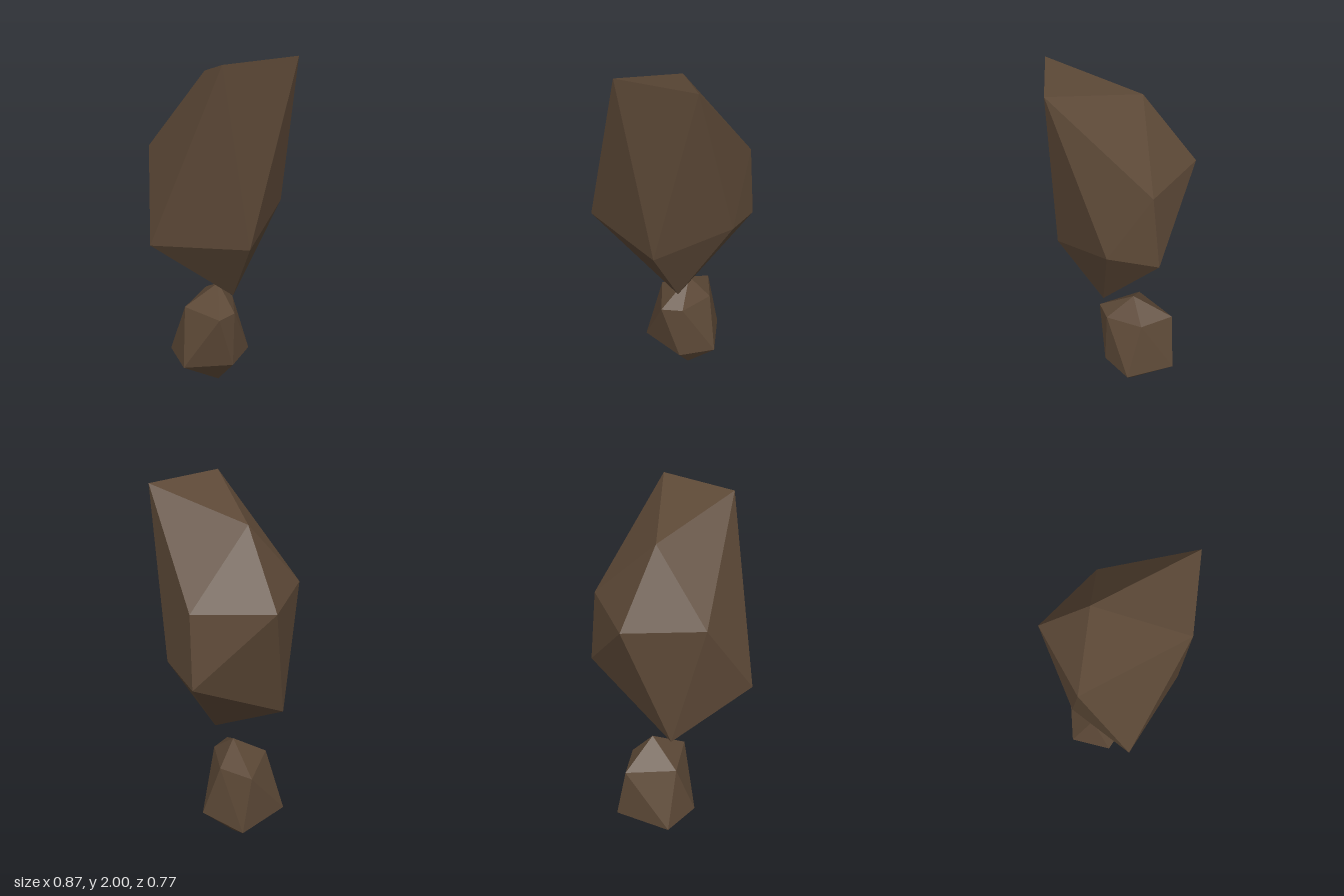
import * as THREE from 'three';

const stone = new THREE.MeshStandardMaterial({ color: 0x5d4937, flatShading: true });

// Twenty-sided rock: a top point, two staggered rings of five, and a bottom point.
function createRock(name, top, upper, lower, bottom) {
  const positions = [];
  const face = (...corners) => corners.forEach((c) => positions.push(...c));
  for (let i = 0; i < 5; i++) {
    const j = (i + 1) % 5;
    face(top, upper[j], upper[i]);
    face(upper[i], upper[j], lower[i]);
    face(lower[i], upper[j], lower[j]);
    face(lower[i], lower[j], bottom);
  }
  const geometry = new THREE.BufferGeometry();
  geometry.setAttribute('position', new THREE.Float32BufferAttribute(positions, 3));
  geometry.computeVertexNormals();
  const mesh = new THREE.Mesh(geometry, stone);
  mesh.name = name;
  return mesh;
}

export function createModel() {
  const model = new THREE.Group();
  model.name = 'floatingRocks';

  // Tall rock above, its crown tilted towards the back
  model.add(createRock('largeRock',
    [0.05, 1.865, -0.135],
    [[0.405, 1.505, -0.05], [0.16, 2, 0.385], [-0.235, 2, 0.257], [-0.235, 1.505, -0.26], [0.16, 1.505, -0.385]],
    [[0.335, 1.155, 0.16], [-0.06, 1.025, 0.29], [-0.435, 1.07, -0.05], [-0.066, 0.815, -0.295], [0.435, 1.11, -0.08]],
    [0.05, 0.645, 0.075]));

  // Small rock below, just short of touching
  model.add(createRock('smallRock',
    [0.1, 0.65, -0.085],
    [[0.22, 0.518, -0.085], [0.075, 0.518, 0.065], [-0.045, 0.518, 0.063], [-0.065, 0.518, -0.19], [0.2, 0.518, -0.28]],
    [[0.26, 0.193, 0.01], [0.06, 0.187, 0.07], [-0.155, 0.185, -0.115], [-0.055, 0.187, -0.325], [0.265, 0.187, -0.27]],
    [0.1, 0.005, -0.085]));

  return model;
}
